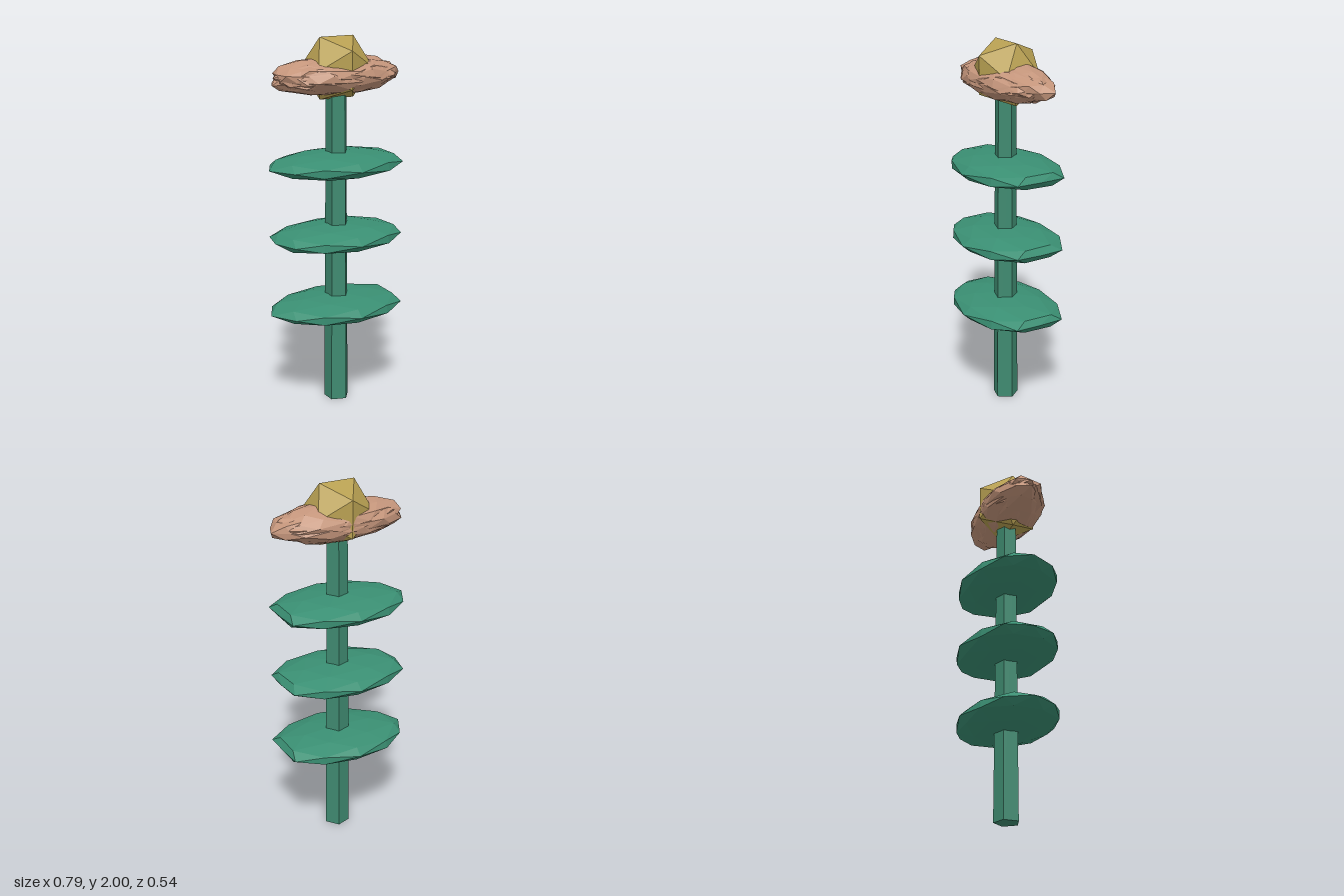
import * as THREE from 'three';

const flat = (color) => new THREE.MeshStandardMaterial({ color, flatShading: true });

// Move every vertex of a geometry by a rule
function reshape(geometry, rule) {
  const pos = geometry.attributes.position;
  const v = new THREE.Vector3();
  for (let i = 0; i < pos.count; i++) {
    rule(v.fromBufferAttribute(pos, i));
    pos.setXYZ(i, v.x, v.y, v.z);
  }
  geometry.computeVertexNormals();
  return geometry;
}

// Repeatable value from 0 to 1 that is the same for coinciding vertices
function noise(v, seed) {
  const k = Math.round(v.x * 50) * 12.99 + Math.round(v.y * 50) * 78.23 + Math.round(v.z * 50) * 37.72;
  const s = Math.sin(k + seed * 4.1) * 43758.5453;
  return s - Math.floor(s);
}

export function createModel() {
  const group = new THREE.Group();
  const add = (name, geometry, material, x, y, z) => {
    const mesh = new THREE.Mesh(geometry, material);
    mesh.name = name;
    mesh.position.set(x, y, z);
    group.add(mesh);
    return mesh;
  };
  const stemGreen = flat(0x3f8a70);
  const leafGreen = flat(0x3a8f73);
  const petalTan = flat(0xc4957b);
  const gold = flat(0xb8a052);

  // Five-sided tapering stem
  const stem = new THREE.CylinderGeometry(0.057, 0.07, 1.8, 5);
  stem.rotateY(Math.PI / 10);
  add('stem', stem, stemGreen, 0, 0.9, 0.007);

  // Flattened leaf discs with blunted tips: height, left tip, right tip
  const leaves = [[0.54, 0.87, 1.04], [0.935, 0.87, 0.96], [1.33, 0.87, 1.04]];
  leaves.forEach(([y, rightTip, leftTip], i) => {
    const leaf = reshape(new THREE.IcosahedronGeometry(1, 1), (v) => {
      const wobble = 0.97 + 0.06 * noise(v, i % 2);
      if (v.x > 0.95) v.x = rightTip;
      else if (v.x < -0.95) v.x = -leftTip;
      else v.multiplyScalar(wobble);
      v.set(v.x * 0.385, v.y * 0.07, v.z * 0.265);
    });
    add('leaf', leaf, leafGreen, 0, y, 0.004);
  });

  // Ragged petals: five rough bodies turned about z, then squashed together
  for (let i = 0; i < 5; i++) {
    const petal = reshape(new THREE.IcosahedronGeometry(1, 2), (v) => {
      const tip = Math.max(0, v.x) ** 6;
      v.multiplyScalar(0.83 + 0.15 * noise(v, 3) + 0.06 * tip);
    });
    petal.rotateZ((i * Math.PI * 2) / 5);
    petal.scale(0.39, 0.107, 0.185);
    petal.computeVertexNormals();
    add('petal', petal, petalTan, 0, 1.797, 0.005);
  }

  // Faceted flower centre
  add('flowerCentre', new THREE.IcosahedronGeometry(0.19, 0), gold, 0, 1.838, 0.004);

  return group;
}
